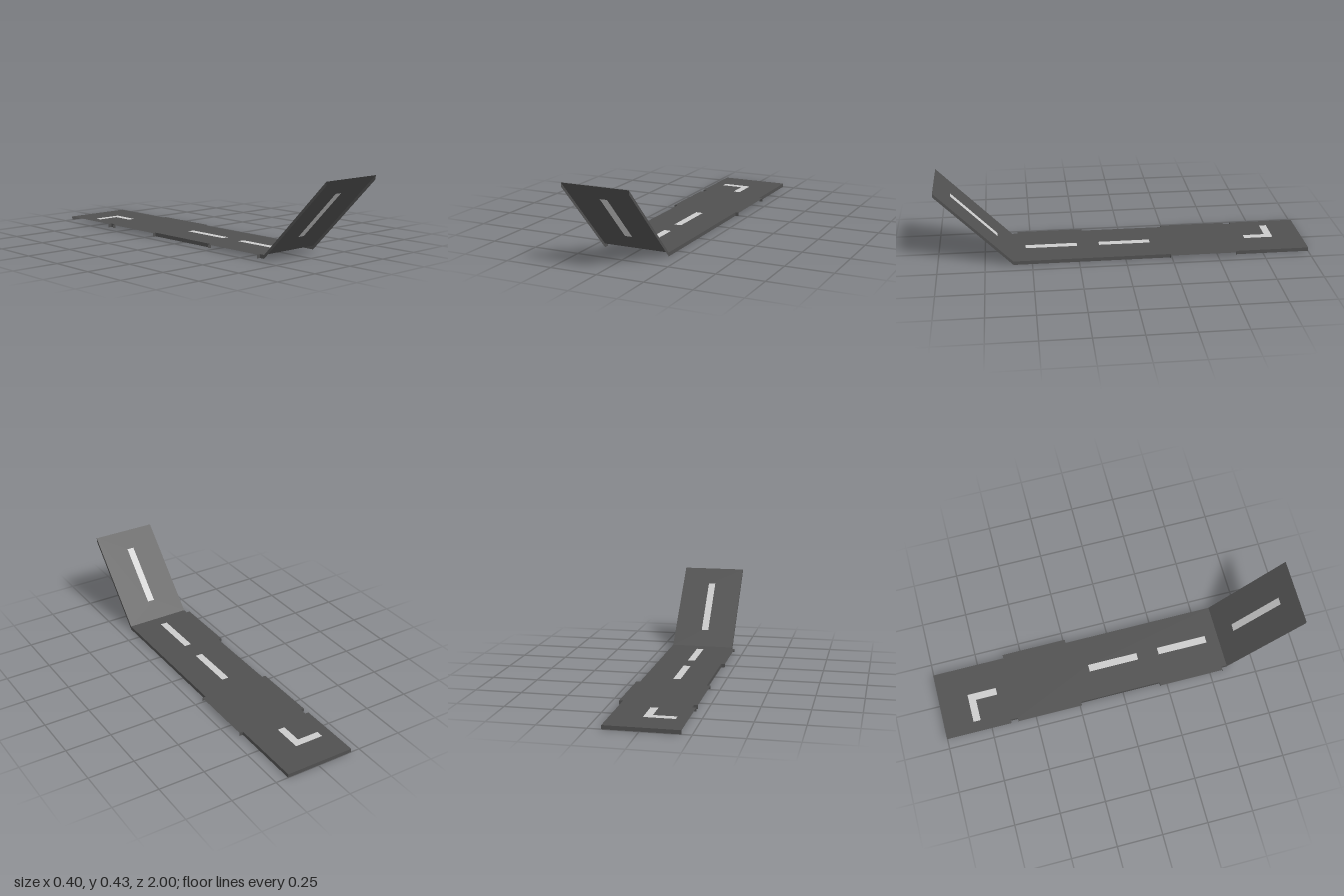
import * as THREE from 'three';

const TOP = 0.02, SLOPE = 1.0125;
const asphalt = new THREE.MeshStandardMaterial({ color: 0x505050, side: THREE.DoubleSide });
const paint = new THREE.MeshStandardMaterial({ color: 0xcccccc, side: THREE.DoubleSide });

// Road surface height: flat deck, then rising beyond z = 0.6
const height = z => TOP + Math.max(0, z - 0.6) * SLOPE;
const rect = (x0, x1, z0, z1) => [[x0, z0], [x0, z1], [x1, z1], [x1, z0]];
const toVectors = pts => pts.map(([x, z]) => new THREE.Vector2(x, -z));

// Thin sheet from an (x, z) outline, draped over the road height
function sheet(name, outline, holes, material) {
  const shape = new THREE.Shape(toVectors(outline));
  shape.holes = holes.map(h => new THREE.Path(toVectors(h)));
  const geometry = new THREE.ShapeGeometry(shape).rotateX(-Math.PI / 2);
  const p = geometry.attributes.position;
  for (let i = 0; i < p.count; i++) p.setY(i, height(p.getZ(i)));
  geometry.computeVertexNormals();
  const mesh = new THREE.Mesh(geometry, material);
  mesh.name = name;
  return mesh;
}

// Vertical rim hanging from the road edge along (x, z) paths
function rim(name, paths) {
  const v = [];
  for (const path of paths) {
    for (let i = 0; i + 1 < path.length; i++) {
      const [[ax, az], [bx, bz]] = [path[i], path[i + 1]];
      const a = height(az), b = height(bz);
      v.push(ax, a, az, ax, a - TOP, az, bx, b - TOP, bz);
      v.push(ax, a, az, bx, b - TOP, bz, bx, b, bz);
    }
  }
  const geometry = new THREE.BufferGeometry();
  geometry.setAttribute('position', new THREE.Float32BufferAttribute(v, 3));
  geometry.computeVertexNormals();
  const mesh = new THREE.Mesh(geometry, asphalt);
  mesh.name = name;
  return mesh;
}

export function createModel() {
  const model = new THREE.Group();
  model.name = 'roadWithRamp';

  // Rim paths of the flat deck; the gaps between them are open side junctions
  const deckEdges = [
    [[-0.18, 0.6], [-0.18, 0.57], [-0.2, 0.57]],
    [[-0.2, 0.21], [-0.18, 0.21], [-0.18, -0.24], [-0.2, -0.24]],
    [[-0.2, -0.6], [-0.18, -0.6], [-0.18, -0.64], [-0.2, -0.64]],
    [[-0.2, -1], [0.18, -1], [0.18, -0.6], [0.2, -0.6]],
    [[0.2, -0.24], [0.18, -0.24], [0.18, 0.6]],
  ];

  // Painted markings, inlaid in the surface
  const turnMark = [[-0.14, -0.84], [-0.14, -0.8], [-0.02, -0.8], [-0.02, -0.68], [0.02, -0.68], [0.02, -0.84]];
  const dashes = [rect(-0.02, 0.02, -0.15, 0.13), rect(-0.02, 0.02, 0.25, 0.53)];
  const rampDash = rect(-0.02, 0.02, 0.68, 0.92);

  model.add(
    sheet('roadDeck', deckEdges.flat(), [turnMark, ...dashes], asphalt),
    rim('roadRim', deckEdges),
    sheet('turnMarking', turnMark, [], paint),
    ...dashes.map(d => sheet('laneDash', d, [], paint)),
    sheet('ramp', rect(-0.18, 0.18, 0.6, 1), [rampDash], asphalt),
    rim('rampRim', [-0.18, 0.18].map(x => [[x, 0.6], [x, 1]])),
    sheet('rampDash', rampDash, [], paint),
  );
  return model;
}
